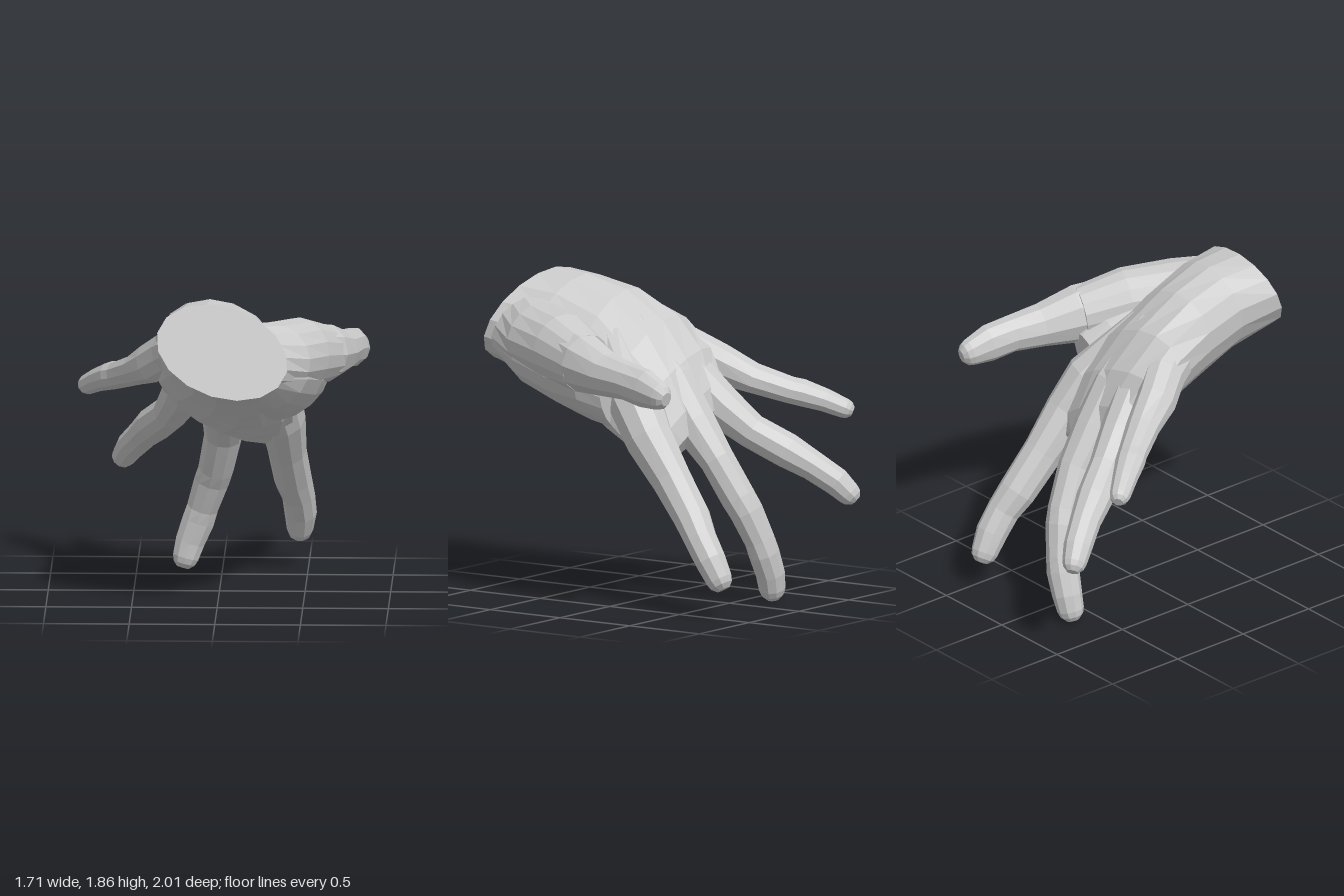
import * as THREE from 'three';

const V = (x, y, z) => new THREE.Vector3(x, y, z);

// Skin a row of elliptical sections { c: centre, w: half width, t: half thickness }, capped at both ends
function loft(name, sections, sides, material) {
  const pos = [], index = [];
  for (const { c, w, t } of sections) {
    for (let i = 0; i < sides; i++) {
      const a = (i / sides) * Math.PI * 2;
      const p = c.clone().addScaledVector(w, Math.cos(a)).addScaledVector(t, Math.sin(a));
      pos.push(p.x, p.y, p.z);
    }
  }
  const last = (sections.length - 1) * sides;
  const first = sections[0].c, end = sections[sections.length - 1].c;
  pos.push(first.x, first.y, first.z, end.x, end.y, end.z);
  const startCentre = last + sides, endCentre = startCentre + 1;
  for (let i = 0; i < sides; i++) {
    const j = (i + 1) % sides;
    for (let k = 0; k < last; k += sides) {
      const a = k + i, b = k + j, c = b + sides, d = a + sides;
      index.push(a, b, c, a, c, d);
    }
    index.push(startCentre, j, i, endCentre, last + i, last + j);
  }
  const geometry = new THREE.BufferGeometry();
  geometry.setAttribute('position', new THREE.Float32BufferAttribute(pos, 3));
  geometry.setIndex(index);
  geometry.computeVertexNormals();
  const mesh = new THREE.Mesh(geometry, material);
  mesh.name = name;
  return mesh;
}

// Block of the hand running towards -z, from rows [centre, half width, half thickness]
function block(name, rows, material) {
  return loft(name, rows.map(([c, w, t]) => ({ c, w: w.negate(), t })), 16, material);
}

// Finger along points [x, y, z, half width, half thickness], with a rounded tip
function finger(name, points, up, material) {
  const centres = points.map(p => V(p[0], p[1], p[2]));
  const n = points.length;
  const sections = points.map((p, i) => {
    const dir = centres[Math.min(i + 1, n - 1)].clone().sub(centres[Math.max(i - 1, 0)]).normalize();
    const w = up.clone().cross(dir).normalize();
    const t = dir.clone().cross(w);
    return { c: centres[i], w: w.multiplyScalar(p[3]), t: t.multiplyScalar(p[4]), dir };
  });
  const tip = sections[n - 1], r = points[n - 1][3];
  for (const [advance, size] of [[0.45, 0.85], [0.8, 0.5]]) {
    sections.push({
      c: tip.c.clone().addScaledVector(tip.dir, r * advance),
      w: tip.w.clone().multiplyScalar(size),
      t: tip.t.clone().multiplyScalar(size),
    });
  }
  return loft(name, sections, 10, material);
}

export function createModel() {
  const group = new THREE.Group();
  group.name = 'hand';
  const skin = new THREE.MeshStandardMaterial({ color: 0xcccccc, flatShading: true });

  // Palm from the cut wrist to the knuckles, rolling down towards the index finger
  group.add(block('palm', [
    [V(0.04, 1.595, 0.89), V(0.375, 0, 0.03), V(-0.09, 0.265, -0.11)],
    [V(0.05, 1.54, 0.62), V(0.34, 0, 0.02), V(-0.09, 0.305, -0.07)],
    [V(0.03, 1.44, 0.33), V(0.35, -0.04, 0), V(-0.09, 0.335, -0.05)],
    [V(0.03, 1.31, 0.07), V(0.4, -0.1, 0), V(-0.08, 0.305, -0.06)],
    [V(0.02, 1.18, -0.1), V(0.42, -0.14, 0), V(-0.04, 0.23, -0.08)],
    [V(0.01, 1.05, -0.22), V(0.36, -0.15, 0), V(0, 0.145, -0.07)],
    [V(0.01, 0.99, -0.28), V(0.26, -0.11, 0), V(0, 0.07, -0.04)],
  ], skin));

  // Root of the thumb, leaving the side of the wrist
  group.add(block('thumbRoot', [
    [V(0.2, 1.57, 0.89), V(0.2, 0, 0.015), V(-0.05, 0.18, -0.075)],
    [V(0.35, 1.52, 0.62), V(0.2, 0, 0.08), V(-0.02, 0.2, -0.02)],
    [V(0.48, 1.49, 0.36), V(0.175, 0, 0.08), V(0, 0.205, -0.03)],
    [V(0.6, 1.44, 0.1), V(0.15, 0, 0.06), V(0, 0.17, -0.02)],
  ], skin));

  // Ball of the thumb, thinning into the fold of skin beside the index finger
  group.add(block('thumbBall', [
    [V(0.2, 1.49, 0.91), V(0.18, 0, 0.015), V(0, 0.12, -0.05)],
    [V(0.3, 1.43, 0.62), V(0.24, 0.05, 0.04), V(-0.03, 0.21, -0.06)],
    [V(0.36, 1.34, 0.35), V(0.26, 0.08, 0.03), V(-0.04, 0.21, -0.04)],
    [V(0.41, 1.27, 0.15), V(0.24, 0.12, 0), V(-0.04, 0.19, -0.02)],
    [V(0.41, 1.2, 0.03), V(0.15, 0.1, 0), V(0, 0.15, -0.02)],
  ], skin));

  // Fingers start inside the palm so that their bones ridge the back of the hand
  const dorsal = V(0, 0.75, -0.65);
  const fingers = {
    littleFinger: [
      [-0.17, 1.54, 0.3, 0.11, 0.13], [-0.29, 1.42, 0, 0.12, 0.13], [-0.39, 1.33, -0.15, 0.115, 0.125],
      [-0.48, 1.25, -0.33, 0.105, 0.09], [-0.6, 1.18, -0.51, 0.09, 0.08],
      [-0.64, 1.165, -0.56, 0.09, 0.082], [-0.72, 1.12, -0.67, 0.075, 0.07],
      [-0.79, 1.07, -0.765, 0.062, 0.06],
    ],
    ringFinger: [
      [-0.1, 1.55, 0.2, 0.1, 0.13], [-0.17, 1.28, -0.11, 0.14, 0.14], [-0.23, 1.11, -0.28, 0.125, 0.13],
      [-0.3, 0.97, -0.45, 0.105, 0.105], [-0.4, 0.86, -0.63, 0.11, 0.105],
      [-0.47, 0.775, -0.76, 0.092, 0.09], [-0.545, 0.68, -0.88, 0.085, 0.085],
      [-0.585, 0.61, -0.94, 0.072, 0.072],
    ],
    middleFinger: [
      [0.02, 1.56, 0.2, 0.1, 0.13], [0.02, 1.26, -0.1, 0.14, 0.15], [0.02, 1.04, -0.26, 0.135, 0.135],
      [0.01, 0.84, -0.42, 0.112, 0.105], [-0.035, 0.62, -0.54, 0.105, 0.105],
      [-0.06, 0.54, -0.58, 0.107, 0.1], [-0.115, 0.37, -0.635, 0.096, 0.09],
      [-0.14, 0.29, -0.65, 0.1, 0.09], [-0.19, 0.16, -0.66, 0.09, 0.085],
      [-0.215, 0.07, -0.655, 0.08, 0.078],
    ],
    indexFinger: [
      [0.16, 1.5, 0.25, 0.1, 0.13], [0.31, 1.18, -0.05, 0.165, 0.16], [0.36, 0.99, -0.18, 0.14, 0.15],
      [0.385, 0.77, -0.36, 0.115, 0.125], [0.415, 0.56, -0.53, 0.112, 0.112],
      [0.445, 0.45, -0.61, 0.098, 0.1], [0.455, 0.33, -0.69, 0.095, 0.095],
      [0.45, 0.22, -0.75, 0.078, 0.082],
    ],
  };
  for (const [name, points] of Object.entries(fingers)) {
    group.add(finger(name, points, dorsal, skin));
  }

  // Thumb
  group.add(finger('thumb', [
    [0.48, 1.49, 0.36, 0.16, 0.17], [0.61, 1.44, 0.1, 0.16, 0.175],
    [0.69, 1.405, -0.12, 0.125, 0.13], [0.74, 1.39, -0.3, 0.1, 0.112],
    [0.77, 1.365, -0.45, 0.09, 0.115], [0.795, 1.335, -0.57, 0.072, 0.085],
  ], V(0, 1, 0), skin));

  return group;
}
